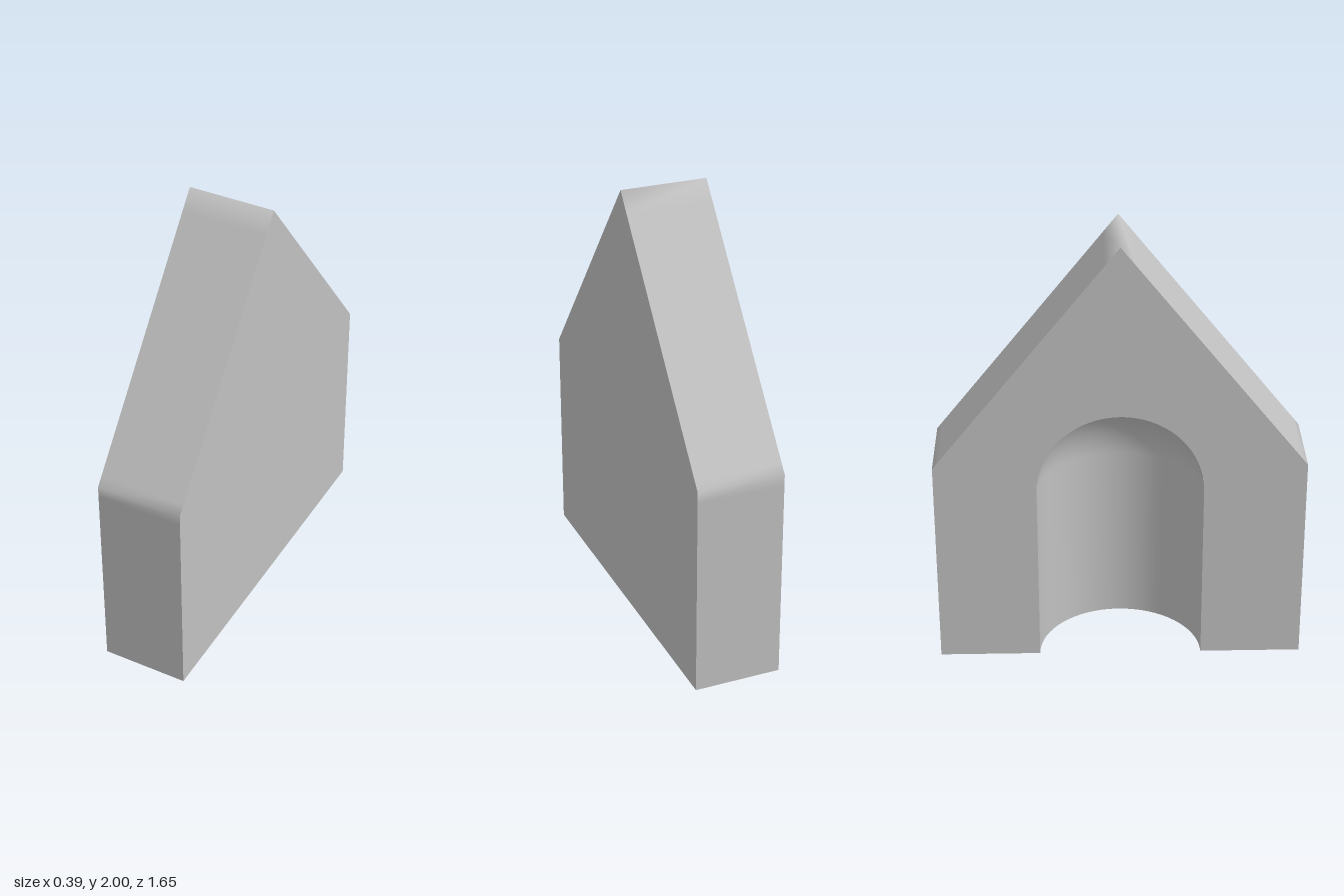
import * as THREE from 'three';

const HALF = 0.825, EAVE = 0.97, PEAK = 2;   // gable outline
const LEFT = 0.2, RIGHT = -0.195;            // slab faces in x
const R = 0.37, SPRING = 0.845;              // arched niche
const SEG = 32;

export function createModel() {
  const group = new THREE.Group();
  const stone = new THREE.MeshStandardMaterial({ color: 0xc0c0c0 });
  stone.name = 'grey stone';

  const add = (name, geometry) => {
    const mesh = new THREE.Mesh(geometry, stone);
    mesh.name = name;
    group.add(mesh);
    return mesh;
  };

  // Gable outline, optionally with an arched doorway cut from its foot
  const gable = (withArch) => {
    const s = new THREE.Shape();
    s.moveTo(-HALF, 0);
    if (withArch) {
      s.lineTo(-R, 0);
      s.lineTo(-R, SPRING);
      s.absarc(0, SPRING, R, Math.PI, 0, true);
      s.lineTo(R, 0);
    }
    s.lineTo(HALF, 0);
    s.lineTo(HALF, EAVE);
    s.lineTo(0, PEAK);
    s.lineTo(-HALF, EAVE);
    s.closePath();
    return new THREE.ShapeGeometry(s, SEG);
  };
  add('plainFace', gable(false).rotateY(Math.PI / 2)).position.x = LEFT;
  add('archedFace', gable(true).rotateY(-Math.PI / 2)).position.x = RIGHT;

  // Walls and roof: one strip whose shading softens only next to eaves and ridge
  const roof = (t) => [HALF * (1 - t), EAVE + (PEAK - EAVE) * t];
  const half = [[HALF, 0], [HALF, EAVE - 0.05], roof(0), roof(0.04), roof(0.92)];
  const profile = [...half, [0, PEAK], ...half.map(([z, y]) => [-z, y]).reverse()];
  const positions = [], indices = [];
  profile.forEach(([z, y], i) => {
    positions.push(RIGHT, y, z, LEFT, y, z);
    if (i < profile.length - 1) {
      const a = i * 2;
      indices.push(a, a + 1, a + 3, a, a + 3, a + 2);
    }
  });
  const strip = new THREE.BufferGeometry();
  strip.setAttribute('position', new THREE.Float32BufferAttribute(positions, 3));
  strip.setIndex(indices);
  strip.computeVertexNormals();
  add('wallsAndRoof', strip);

  // Underside with the half-round niche footprint removed
  const foot = new THREE.Shape();
  foot.moveTo(RIGHT, -HALF);
  foot.lineTo(RIGHT, -R);
  foot.absarc(RIGHT, 0, R, -Math.PI / 2, Math.PI / 2, false);
  foot.lineTo(RIGHT, HALF);
  foot.lineTo(LEFT, HALF);
  foot.lineTo(LEFT, -HALF);
  foot.closePath();
  add('underside', new THREE.ShapeGeometry(foot, SEG).rotateX(Math.PI / 2));

  // Niche: half-round wall under a quarter-sphere dome, running downwards to face inwards
  const nichePoints = [];
  for (let i = 0; i <= 16; i++) {
    const a = (i / 16) * Math.PI / 2;
    nichePoints.push(new THREE.Vector2(R * Math.sin(a), SPRING + R * Math.cos(a)));
  }
  nichePoints.push(new THREE.Vector2(R, 0));
  add('niche', new THREE.LatheGeometry(nichePoints, SEG, 0, Math.PI)).position.x = RIGHT;

  return group;
}
